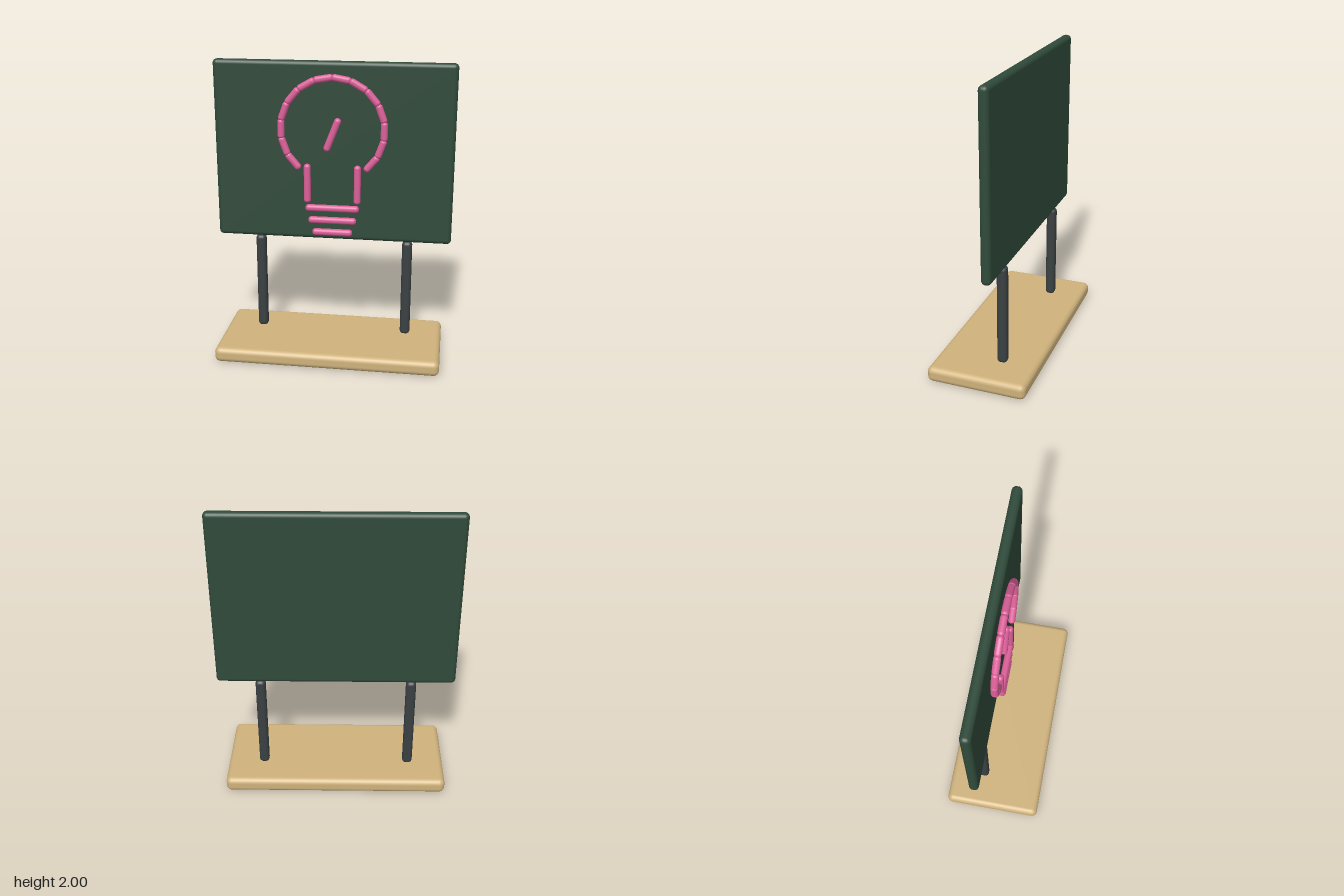
import * as THREE from 'three';
import { RoundedBoxGeometry } from 'three/addons/geometries/RoundedBoxGeometry.js';

const material = (name, color) => {
  const m = new THREE.MeshStandardMaterial({ color });
  m.name = name;
  return m;
};

export function createModel() {
  const green = material('boardGreen', 0x2f4a3a);
  const wood = material('paleWood', 0xcfb27c);
  const metal = material('darkMetal', 0x3a4042);
  const pink = material('neonPink', 0xdb5f98);

  const model = new THREE.Group();
  model.name = 'lightBulbSign';

  const block = (name, mat, size, pos, radius, parent = model) => {
    const mesh = new THREE.Mesh(new RoundedBoxGeometry(...size, 4, radius), mat);
    mesh.name = name;
    mesh.position.set(...pos);
    parent.add(mesh);
    return mesh;
  };

  // Stand and board
  block('base', wood, [1.52, 0.105, 0.67], [0, 0.0525, 0], 0.038);
  for (const side of [-1, 1]) {
    block(side > 0 ? 'leftPost' : 'rightPost', metal, [0.068, 0.69, 0.068], [side * 0.507, 0.445, -0.1], 0.026);
  }
  block('board', green, [1.6, 1.213, 0.066], [0, 1.3935, -0.1], 0.028);

  // Bulb outline made of short round rods
  const bulb = new THREE.Group();
  bulb.name = 'bulbOutline';
  model.add(bulb);
  const thick = 0.046;
  const rod = (name, x1, y1, x2, y2) => {
    const length = Math.hypot(x2 - x1, y2 - y1);
    const mesh = block(name, pink, [length, thick, thick], [(x1 + x2) / 2, (y1 + y2) / 2, -0.032], 0.021, bulb);
    mesh.rotation.z = Math.atan2(y2 - y1, x2 - x1);
  };

  // Glass: fourteen rods around an open arc, slightly overlapping
  const count = 14, step = Math.PI / 9, start = -50 * Math.PI / 180;
  const radius = 0.34, centreY = 1.56, half = 0.066;
  for (let i = 0; i < count; i++) {
    const a = start + (i + 0.5) * step;
    const x = radius * Math.cos(a), y = centreY + radius * Math.sin(a);
    const dx = -Math.sin(a) * half, dy = Math.cos(a) * half;
    rod('glassRod', x - dx, y - dy, x + dx, y + dy);
  }

  // Neck, screw cap and filament
  for (const side of [-1, 1]) rod('neckRod', side * 0.168, 1.058, side * 0.168, 1.326);
  [[0.181, 1.022], [0.163, 0.937], [0.136, 0.852]].forEach(([w, y]) => rod('capRod', -w, y, w, y));
  rod('filament', -0.043, 1.418, 0.043, 1.638);

  return model;
}
